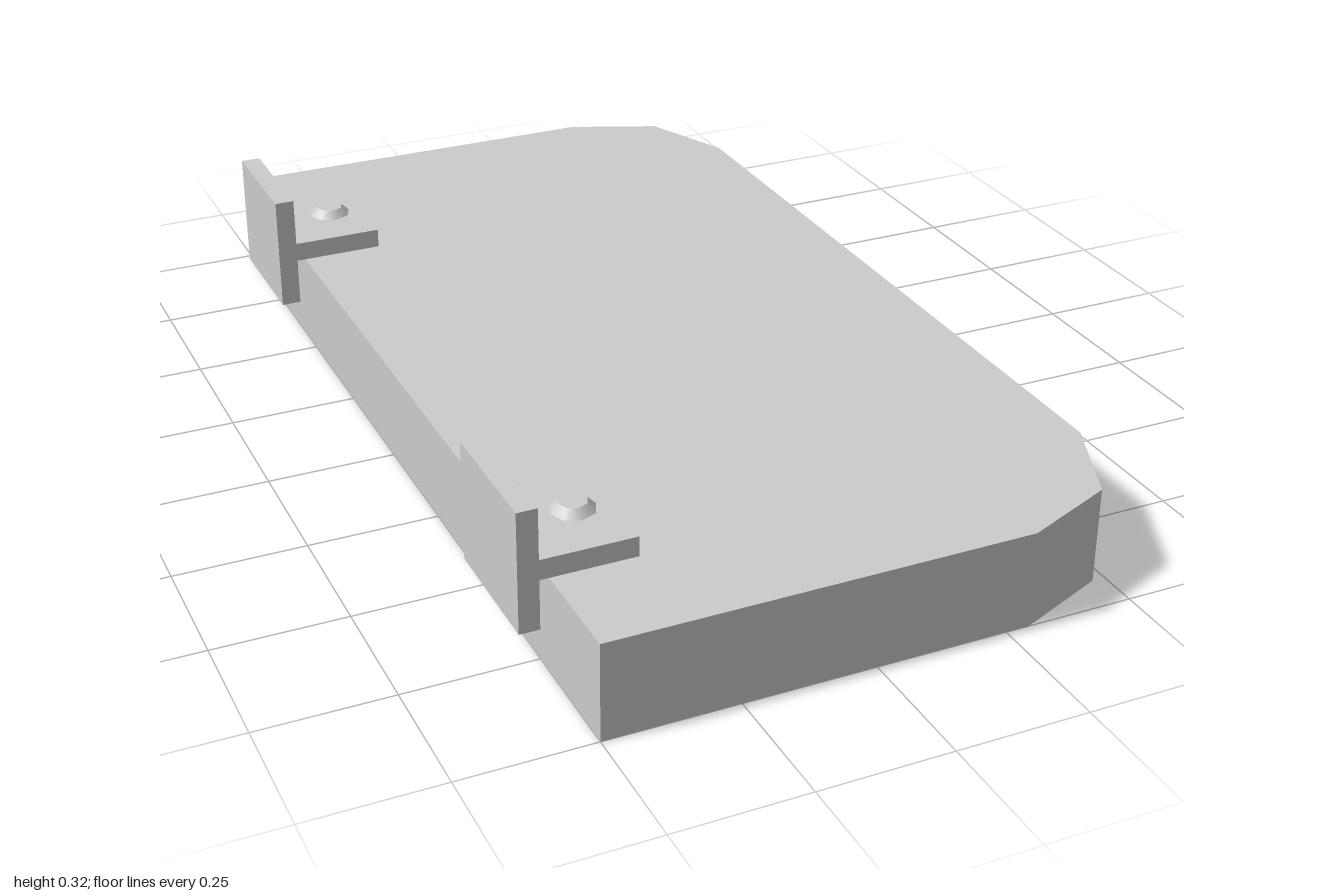
import * as THREE from 'three';
import { toCreasedNormals } from 'three/addons/utils/BufferGeometryUtils.js';

const material = new THREE.MeshStandardMaterial({ color: 0xcccccc });

function addPart(parent, name, geometry, x, y, z) {
  const mesh = new THREE.Mesh(geometry, material);
  mesh.name = name;
  mesh.position.set(x, y, z);
  parent.add(mesh);
  return mesh;
}

// Shelf board: square at the wall edge, rounded at the free corners
function shelfGeometry() {
  const corner = [[-0.5, 1], [0.295, 1], [0.475, 0.925], [0.555, 0.74]];
  const mirrored = corner.map(([x, z]) => [x, -z]).reverse();
  const outline = [...corner, ...mirrored].map(([x, z]) => new THREE.Vector2(x, z));
  const geometry = new THREE.ExtrudeGeometry(new THREE.Shape(outline), { depth: 0.185, bevelEnabled: false });
  geometry.rotateX(-Math.PI / 2);
  return toCreasedNormals(geometry, 0.8);
}

// Bracket: wall plate, arm lying on the board, and a tapered screw head on each
function createBracket(name, z) {
  const bracket = new THREE.Group();
  bracket.name = name;
  bracket.position.z = z;
  addPart(bracket, 'wallPlate', new THREE.BoxGeometry(0.038, 0.23, 0.252), -0.536, 0.205, 0);
  addPart(bracket, 'arm', new THREE.BoxGeometry(0.177, 0.038, 0.252), -0.4285, 0.204, 0);

  const screwGeometry = new THREE.CylinderGeometry(0.027, 0.042, 0.016, 8);
  addPart(bracket, 'armScrew', screwGeometry, -0.405, 0.231, 0);
  const wallScrew = addPart(bracket, 'wallScrew', screwGeometry, -0.509, 0.268, 0);
  wallScrew.rotation.z = -Math.PI / 2;
  return bracket;
}

export function createModel() {
  const model = new THREE.Group();
  model.name = 'wallShelf';
  addPart(model, 'shelfBoard', shelfGeometry(), 0, 0, 0);
  model.add(createBracket('frontBracket', 0.668), createBracket('backBracket', -0.668));
  return model;
}
